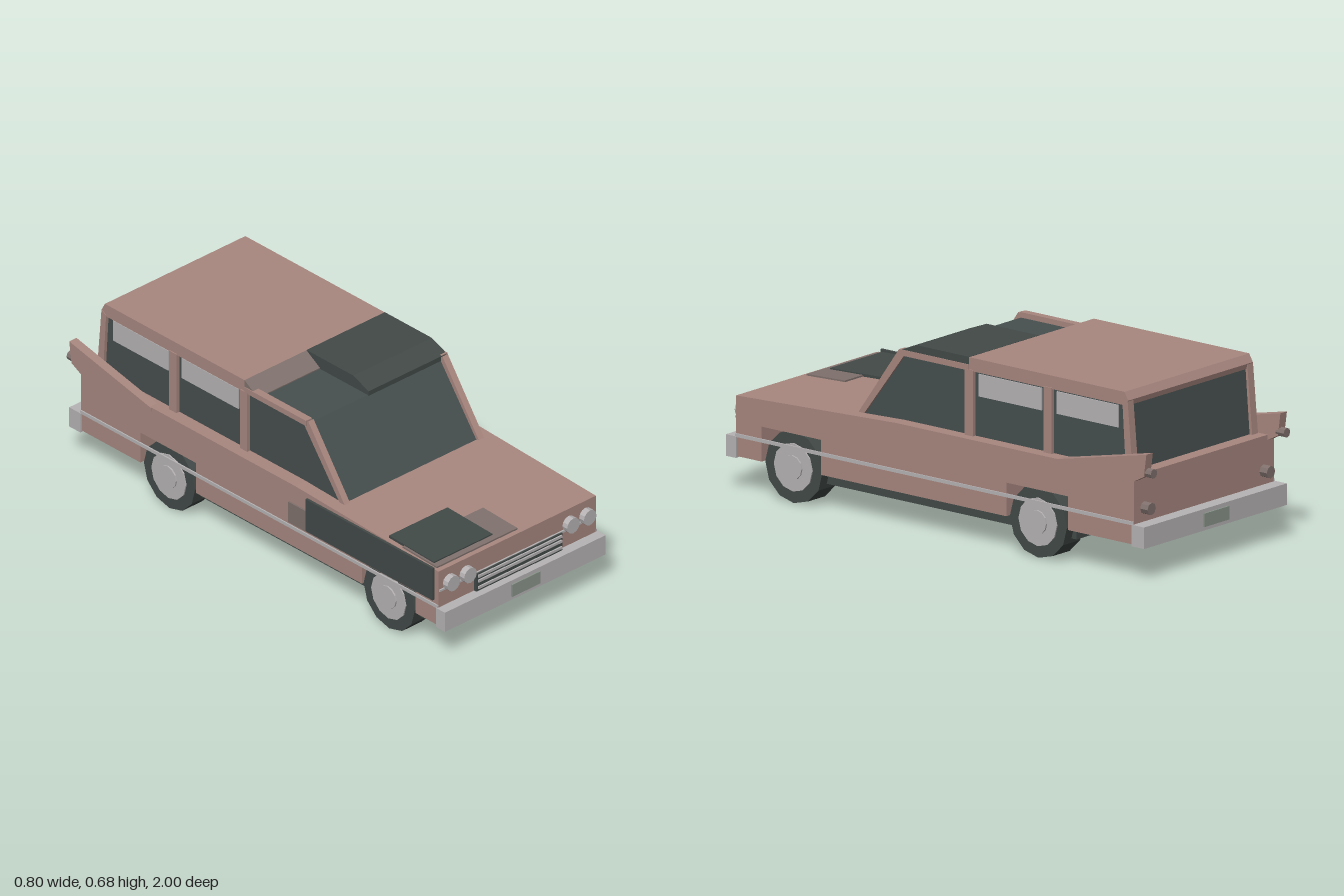
import * as THREE from 'three';

const paint = (name, color, extra = {}) => {
  const m = new THREE.MeshStandardMaterial({ color, ...extra });
  m.name = name;
  return m;
};

export function createModel() {
  const pink = paint('fadedPink', 0xa98880);
  const primer = paint('brownPrimer', 0x80716d);
  const dark = paint('darkPrimer', 0x424a48);
  const glass = paint('darkGlass', 0x474f4f);
  const chrome = paint('chrome', 0xb8b4b6);
  const plate = paint('plateGreen', 0x8a958b);

  const car = new THREE.Group();
  car.name = 'stationWagon';

  const add = (name, geo, mat) => {
    const mesh = new THREE.Mesh(geo, mat);
    mesh.name = name;
    car.add(mesh);
    return mesh;
  };
  // Box given by its limits on each axis
  const box = (name, mat, x0, x1, y0, y1, z0, z1) => {
    const g = new THREE.BoxGeometry(x1 - x0, y1 - y0, z1 - z0);
    g.translate((x0 + x1) / 2, (y0 + y1) / 2, (z0 + z1) / 2);
    return add(name, g, mat);
  };
  // Side profile of [z, y] points, extruded across the car from x0 to x1
  const slab = (name, mat, x0, x1, pts) => {
    const shape = new THREE.Shape(pts.map(([z, y]) => new THREE.Vector2(z, y)));
    const g = new THREE.ExtrudeGeometry(shape, { depth: x1 - x0, bevelEnabled: false });
    g.rotateY(-Math.PI / 2);
    g.translate(x1, 0, 0);
    return add(name, g, mat);
  };
  // The same limits on either side of the car
  const sides = (fn, name, mat, a, b, ...rest) => {
    fn('left' + name, mat, a, b, ...rest);
    fn('right' + name, mat, -b, -a, ...rest);
  };
  // Faceted disc along x or z
  const disc = (name, mat, axis, r, len, x, y, z, n = 12) => {
    const g = new THREE.CylinderGeometry(r, r, len, n).toNonIndexed();
    g.computeVertexNormals();
    if (axis === 'x') g.rotateZ(Math.PI / 2);
    else g.rotateX(Math.PI / 2);
    g.translate(x, y, z);
    return add(name, g, mat);
  };

  // Lower body with wheel arches open right across
  slab('body', pink, -0.387, 0.387, [
    [0.95, 0.13], [0.95, 0.355], [0.2, 0.385], [-0.92, 0.385], [-0.92, 0.13],
    [-0.61, 0.13], [-0.61, 0.255], [-0.32, 0.255], [-0.32, 0.13],
    [0.55, 0.13], [0.55, 0.26], [0.83, 0.26], [0.83, 0.13],
  ]);
  box('chassis', dark, -0.34, 0.34, 0.085, 0.132, -0.61, 0.83);
  sides(slab, 'TailFin', pink, 0.353, 0.389,
    [[-0.55, 0.383], [-0.98, 0.475], [-0.968, 0.39], [-0.92, 0.365], [-0.88, 0.365], [-0.55, 0.37]]);

  // Cabin: glass core, pillars and roof
  slab('windows', glass, -0.334, 0.334,
    [[0.4, 0.375], [0.21, 0.628], [-0.848, 0.628], [-0.868, 0.375]]);
  slab('roof', pink, -0.345, 0.345,
    [[-0.11, 0.625], [-0.11, 0.675], [-0.84, 0.675], [-0.857, 0.645], [-0.852, 0.625]]);
  slab('roofFrontPatch', dark, -0.04, 0.345,
    [[-0.11, 0.626], [-0.11, 0.676], [0.135, 0.676], [0.215, 0.645], [0.215, 0.626]]);
  slab('roofPrimerPatch', primer, -0.345, -0.04,
    [[-0.11, 0.626], [-0.11, 0.675], [-0.04, 0.632], [-0.04, 0.626]]);
  sides(box, 'RoofRail', pink, 0.318, 0.348, 0.626, 0.648, -0.11, 0.215);
  sides(slab, 'WindscreenPillar', pink, 0.317, 0.343,
    [[0.412, 0.38], [0.222, 0.646], [0.195, 0.63], [0.385, 0.38]]);
  sides(box, 'MiddlePillar', pink, 0.32, 0.349, 0.38, 0.63, -0.13, -0.092);
  sides(box, 'SidePillar', pink, 0.32, 0.349, 0.38, 0.63, -0.5, -0.462);
  sides(slab, 'RearPillar', pink, 0.315, 0.347,
    [[-0.832, 0.63], [-0.856, 0.645], [-0.88, 0.38], [-0.848, 0.38]]);
  sides(box, 'MiddleCurtain', chrome, 0.333, 0.339, 0.535, 0.618, -0.445, -0.148);
  sides(box, 'RearCurtain', chrome, 0.333, 0.339, 0.535, 0.618, -0.805, -0.515);

  // Mismatched patches on the bonnet and right wing
  slab('bonnetPrimerPatch', primer, -0.376, 0.02,
    [[0.93, 0.35], [0.93, 0.362], [0.75, 0.369], [0.75, 0.355]]);
  slab('bonnetDarkPatch', dark, -0.367, -0.08,
    [[0.905, 0.35], [0.905, 0.368], [0.67, 0.376], [0.67, 0.355]]);
  box('wingPrimerPatch', primer, -0.394, -0.386, 0.225, 0.31, 0.17, 0.84);
  box('wingDarkPatch', dark, -0.403, -0.393, 0.235, 0.368, 0.27, 0.935);

  // Bumpers, plates and trim
  box('frontBumper', chrome, -0.395, 0.395, 0.125, 0.205, 0.945, 0.992);
  box('rearBumper', chrome, -0.395, 0.395, 0.125, 0.205, -0.974, -0.915);
  box('frontPlate', plate, -0.069, 0.069, 0.14, 0.19, 0.992, 0.998);
  box('rearPlate', plate, -0.069, 0.069, 0.14, 0.19, -0.981, -0.974);
  sides(box, 'SideTrim', chrome, 0.386, 0.392, 0.202, 0.215, -0.92, 0.95);
  box('noseTrim', chrome, -0.385, 0.385, 0.271, 0.279, 0.949, 0.956);

  // Grille with bars
  box('grille', dark, -0.212, 0.212, 0.203, 0.277, 0.945, 0.962);
  [0.267, 0.247, 0.22].forEach((y) =>
    box('grilleBar', chrome, -0.205, 0.205, y - 0.005, y + 0.005, 0.96, 0.968));

  // Lights and wheels, mirrored left and right
  for (const s of [-1, 1]) {
    for (const x of [0.253, 0.335]) disc('headlight', chrome, 'z', 0.031, 0.03, s * x, 0.295, 0.96);
    disc('finLight', primer, 'z', 0.018, 0.04, s * 0.368, 0.403, -0.978, 8);
    disc('rearLight', primer, 'z', 0.023, 0.04, s * 0.33, 0.257, -0.935, 8);
    for (const z of [0.685, -0.465]) {
      disc('tyre', dark, 'x', 0.134, 0.094, s * 0.333, 0.134, z);
      disc('hubcap', chrome, 'x', 0.09, 0.02, s * 0.375, 0.134, z);
      disc('hubCentre', chrome, 'x', 0.045, 0.012, s * 0.385, 0.134, z);
    }
  }

  car.children.forEach((m) => { m.position.x = 0.003; });
  return car;
}
